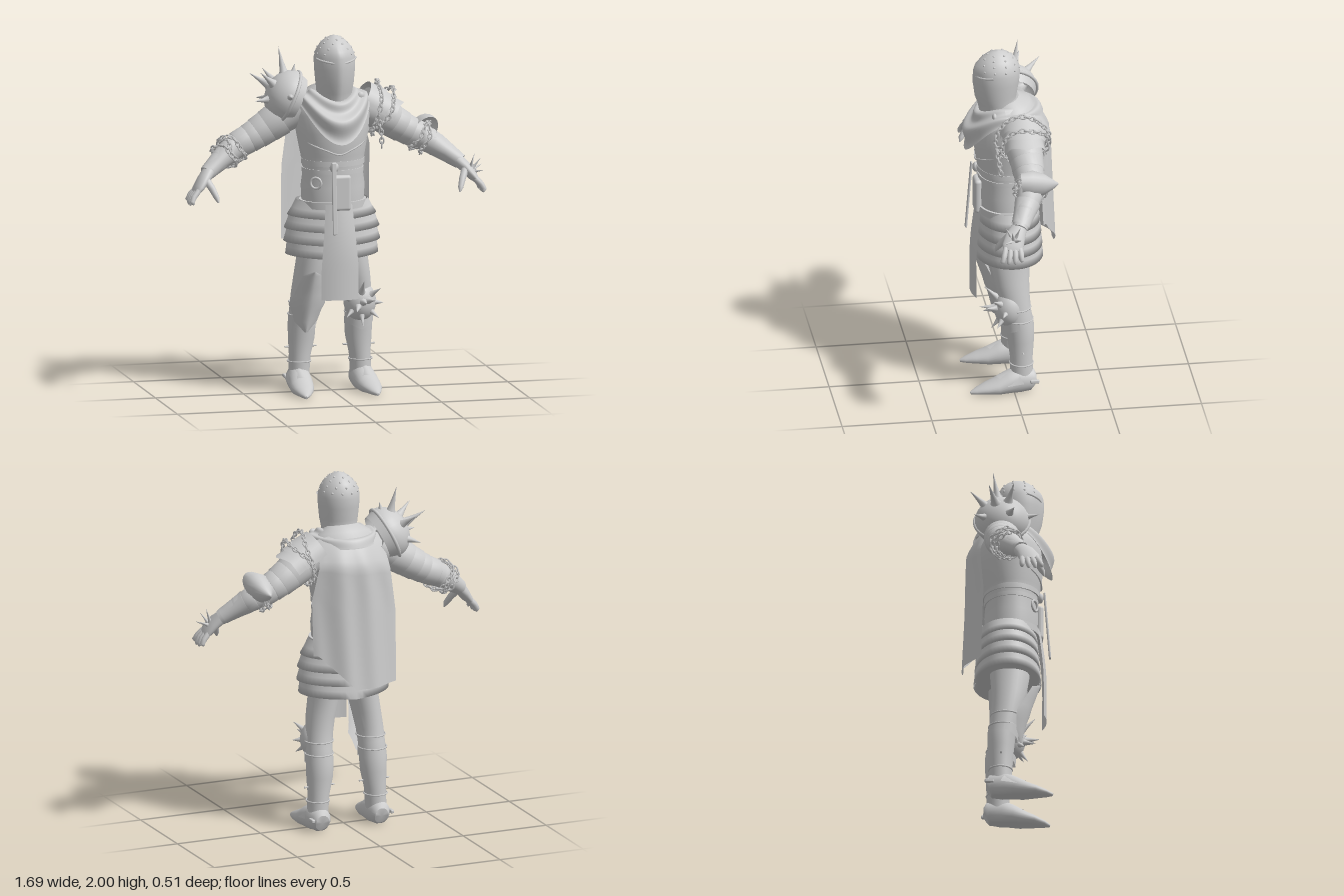
import * as THREE from 'three';
import { mergeGeometries } from 'three/addons/utils/BufferGeometryUtils.js';
import { RoundedBoxGeometry } from 'three/addons/geometries/RoundedBoxGeometry.js';

const V = (x, y, z) => new THREE.Vector3(x, y, z);
const steel = new THREE.MeshStandardMaterial({ color: 0xcccccc, side: THREE.DoubleSide });
steel.name = 'steel';

function grid(positions, index) {
  const g = new THREE.BufferGeometry();
  g.setAttribute('position', new THREE.Float32BufferAttribute(positions, 3));
  g.setIndex(index);
  g.computeVertexNormals();
  return g;
}

// Elliptical rings [x, y, z, sideRadius, refRadius] skinned along a path
function loft(rings, { ref = V(0, 0, 1), caps = true, seg = 28, shape } = {}) {
  const pos = [], idx = [], c = rings.map(r => V(r[0], r[1], r[2])), n = rings.length;
  rings.forEach((r, i) => {
    const t = c[Math.min(i + 1, n - 1)].clone().sub(c[Math.max(i - 1, 0)]).normalize();
    const v = ref.clone().addScaledVector(t, -ref.dot(t)).normalize();
    const u = v.clone().cross(t);
    for (let j = 0; j < seg; j++) {
      const a = j / seg * Math.PI * 2;
      const p = c[i].clone().addScaledVector(u, r[3] * Math.cos(a)).addScaledVector(v, r[4] * Math.sin(a));
      if (shape) shape(p);
      pos.push(p.x, p.y, p.z);
      if (i < n - 1) {
        const k = (j + 1) % seg, o = i * seg;
        idx.push(o + j, o + k, o + seg + j, o + k, o + seg + k, o + seg + j);
      }
    }
  });
  if (caps) [0, n - 1].forEach(i => {
    const o = pos.length / 3, ring = pos.slice(i * seg * 3, (i + 1) * seg * 3);
    const mid = c[i].clone();
    if (shape) shape(mid);
    pos.push(...ring, mid.x, mid.y, mid.z);
    for (let j = 0; j < seg; j++) {
      const k = (j + 1) % seg;
      idx.push(o + seg, ...(i ? [o + j, o + k] : [o + k, o + j]));
    }
  });
  return grid(pos, idx);
}

// Thin sheet from a rule of u and v
function sheet(nu, nv, rule) {
  const pos = [], idx = [];
  for (let i = 0; i <= nv; i++) for (let j = 0; j <= nu; j++) {
    pos.push(...rule(j / nu, i / nv));
    if (i < nv && j < nu) {
      const a = i * (nu + 1) + j, b = a + nu + 1;
      idx.push(a, b, a + 1, b, b + 1, a + 1);
    }
  }
  return grid(pos, idx);
}

// Concave spikes running from a centre out to each tip
function spikes(center, start, tips, r) {
  return mergeGeometries(tips.map(t => {
    const d = V(...t).sub(center), len = d.length() - start;
    d.normalize();
    const g = new THREE.LatheGeometry([[r, 0], [r * 0.55, 0.2], [r * 0.3, 0.5], [0.0005, 1]].map(p => new THREE.Vector2(p[0], p[1] * len)), 12);
    g.applyQuaternion(new THREE.Quaternion().setFromUnitVectors(V(0, 1, 0), d));
    return g.translate(...center.clone().addScaledVector(d, start).toArray());
  }));
}

// Interlocked links along a curve
function chain(curve) {
  const n = Math.round(curve.getLength() / 0.027), out = [];
  for (let i = 0; i < n; i++) {
    const g = new THREE.TorusGeometry(0.0115, 0.0045, 5, 10).scale(1.5, 1, 1).rotateX((i % 2) * Math.PI / 2 + 0.4);
    g.applyQuaternion(new THREE.Quaternion().setFromUnitVectors(V(1, 0, 0), curve.getTangentAt(i / n)));
    out.push(g.translate(...curve.getPointAt(i / n).toArray()));
  }
  return mergeGeometries(out);
}

function loop(center, normal, r) {
  const q = new THREE.Quaternion().setFromUnitVectors(V(0, 0, 1), normal.clone().normalize()), pts = [];
  for (let i = 0; i < 16; i++) {
    const a = i / 16 * Math.PI * 2;
    pts.push(V(Math.cos(a) * r, Math.sin(a) * r, 0.01 * Math.sin(a * 3)).applyQuaternion(q).add(center));
  }
  return new THREE.CatmullRomCurve3(pts, true);
}

export function createModel() {
  const model = new THREE.Group();
  const add = (name, geo) => {
    const m = new THREE.Mesh(geo, steel);
    m.name = name;
    model.add(m);
  };

  // Helm with a creased front, eye slits and rivets
  const helm = [[1.6, .05, .1, .09], [1.66, .055, .098, .098], [1.7, .06, .1, .1], [1.74, .066, .106, .11], [1.82, .066, .113, .122], [1.88, .062, .114, .124],
    [1.92, .06, .102, .115], [1.955, .06, .079, .094], [1.98, .06, .052, .064], [1.995, .06, .024, .032], [2, .06, .003, .003]];
  add('helm', loft(helm.map(([y, z, a, b]) => [0, y, z, a, b]), { seg: 40, shape: p => {
    if (p.z > 0.1 && p.y < 1.93) p.z += 0.014 * Math.max(0, 1 - Math.abs(p.x) / 0.06);
  } }));
  const onHelm = (y, a, out = 0) => {
    let i = 0;
    while (i < helm.length - 2 && helm[i + 1][0] < y) i++;
    const [p, q] = [helm[i], helm[i + 1]], f = (y - p[0]) / (q[0] - p[0]), at = k => p[k] + (q[k] - p[k]) * f;
    return V((at(2) + out) * Math.sin(a), y, at(1) + (at(3) + out) * Math.cos(a));
  };
  const rivets = [];
  [1.905, 1.935, 1.962, 1.982].forEach((y, r) => {
    const n = 12 - r * 2;
    for (let i = 0; i < n; i++) rivets.push(new THREE.SphereGeometry(.007, 8, 6).translate(...onHelm(y, (i + .5 + (r % 2) / 2) / n * 6.283, -.002).toArray()));
  });
  add('helmRivets', mergeGeometries(rivets));
  for (const s of [-1, 1]) add('eyeSlitLip', new THREE.TubeGeometry(new THREE.CatmullRomCurve3(
    [.25, .6, .95, 1.25].map((a, i) => onHelm(1.862 + i * .006, a * s, .003))), 12, .006, 6));

  // Torso, belts and neck
  add('breastplate', loft([[.8, 0, .17, .14], [1.05, .02, .172, .145], [1.16, .022, .178, .15], [1.25, .022, .166, .143], [1.33, .02, .178, .162],
    [1.45, .012, .2, .188], [1.55, 0, .212, .187], [1.62, -.005, .2, .165], [1.67, .01, .155, .13], [1.71, .02, .09, .075]].map(([y, z, a, b]) => [0, y, z, a, b]), { seg: 40 }));
  [[1.28, 1.31, .176, .157], [1.235, 1.26, .172, .15], [1.04, 1.08, .187, .158]].forEach(([y0, y1, a, b]) =>
    add('belt', loft([[0, y0, .022, a, b], [0, y1, .022, a, b]], { seg: 40 })));
  add('plackartEdge', new THREE.TubeGeometry(new THREE.CatmullRomCurve3([-1.2, -.8, -.4, 0, .4, .8, 1.2].map(a =>
    V(.188 * Math.sin(a), 1.35 + .06 * Math.abs(a), .02 + .168 * Math.cos(a)))), 30, .005, 6));

  // Draped scarf with rolling folds, lower at the throat
  add('scarf', sheet(56, 24, (u, v) => {
    const a = -u * Math.PI * 2, f = Math.max(0, Math.sin(a)), w = Math.sin(v * Math.PI * 4) * .013;
    return [Math.cos(a) * (.1 + .1 * Math.sin(v * 1.57) + w * .4), 1.69 - .065 * v * v - f * f * (.045 + .165 * v ** 1.3) + w * .5,
      .04 + Math.sin(a) * (.1 + (f > 0 ? .085 : .13) * Math.sin(v * 1.57)) + f * f * (.014 + .02 * Math.sin(v * 2.6) + w)];
  }));
  add('collarRoll', new THREE.TorusGeometry(.108, .013, 8, 36).rotateX(Math.PI / 2 + .35).translate(0, 1.675, .05));
  add('cloakClasp', new THREE.SphereGeometry(.022, 14, 10).scale(1, 1, .6).translate(.14, 1.66, .1));

  // Cloak wrapping the back, with soft folds and a slanted hem
  add('cloak', sheet(48, 24, (u, v) => {
    const s = u * 2 - 1, hem = .83 + .2 * Math.max(0, Math.min(1, (s - .1) / .8));
    const x = s * (.185 + .065 * Math.min(1, v * 2));
    return [x, 1.7 - v * (1.7 - hem) - .04 * s * s * (1 - v), -.1 - .12 * Math.min(1, v * 5) ** .6 - .03 * v + (.05 + .05 * Math.min(1, v * 2)) * s * s + .007 * Math.min(1, v * 3) * Math.sin(s * 9 + v * 2)];
  }));

  // Skirt of close overlapping lames flaring to the sides
  [[.2, .25, .16, .17], [.235, .268, .166, .177], [.248, .272, .172, .183], [.25, .26, .177, .188]].forEach(([a0, a1, b0, b1], i) => {
    const y = 1.075 - i * .073;
    add('skirtLame', loft([[0, y, 0, a0, b0], [0, y - .045, 0, a0 + (a1 - a0) * .45, (b0 + b1) / 2], [0, y - .088, 0, a1, b1],
      [0, y - .087, 0, a1 - .01, b1 - .01]], { caps: false, seg: 48, shape: p => { p.y += .015 * (Math.abs(p.x) / a1 - .5); } }));
  });

  // Tabard, hanging strap, pouch and ring
  add('tabard', sheet(14, 16, (u, v) => [(u * 2 - 1) * (.075 + .03 * Math.min(1, v * 1.5)), 1.07 - v * .53, .186 + .03 * Math.sin(Math.min(1, v * 1.6) * 1.57) - .02 * (u * 2 - 1) ** 2]));
  add('hangingStrap', new RoundedBoxGeometry(.026, .4, .012, 2, .005).rotateX(-.08).translate(-.037, 1.11, .218));
  add('strapKnot', new THREE.SphereGeometry(.026, 12, 8).scale(1, 1.1, .7).translate(-.03, 1.28, .18));
  add('pouch', new RoundedBoxGeometry(.105, .2, .04, 4, .018).translate(.012, 1.135, .178));
  add('beltRing', new THREE.TorusGeometry(.03, .007, 8, 24).rotateY(-.55).translate(-.125, 1.19, .145));

  for (const s of [-1, 1]) {
    // Legs, greaves and straps
    add('leg', loft([[.1, .88, .005, .085, .112], [.115, .75, .008, .083, .108], [.137, .64, .002, .078, .096], [.152, .54, -.012, .075, .084], [.158, .46, -.025, .074, .078],
      [.16, .38, -.04, .077, .078], [.162, .3, -.043, .074, .073], [.17, .2, -.045, .06, .063], [.176, .08, -.045, .058, .064]].map(([x, ...r]) => [x * s, ...r])));
    [[.156, .5, -.018, .08], [.161, .43, -.032, .078], [.174, .165, -.045, .064]].forEach(([x, y, z, r]) =>
      add('legStrap', new THREE.TorusGeometry(r, .0045, 6, 30).rotateX(Math.PI / 2).translate(x * s, y, z)));
    add('greavePin', new THREE.CylinderGeometry(.005, .005, .18, 8).rotateZ(Math.PI / 2).translate(.165 * s, .245, -.045));
    add('greaveTopPlate', sheet(14, 6, (u, v) => {
      const a = (u * 2 - 1) * 1.5;
      return [s * .16 + Math.sin(a) * .081, .43 - v * (.09 - .05 * Math.abs(u * 2 - 1)), -.035 + Math.cos(a) * (.085 + .008 * (1 - v))];
    }));
    // Pointed shoe with an instep plate and heel buckle
    add('sabaton', loft([[.178, .05, -.12, .04, .05], [.178, .06, -.1, .058, .065], [.18, .065, -.03, .066, .08], [.184, .052, .03, .068, .064], [.19, .036, .09, .066, .048],
      [.195, .028, .15, .055, .032], [.2, .016, .21, .03, .018], [.204, .008, .243, .006, .008]].map(([x, ...r]) => [x * s, ...r]),
    { ref: V(0, 1, 0), shape: p => { p.y = Math.max(0, p.y); p.z = Math.max(-.125, p.z); } }));
    add('instepPlate', sheet(12, 6, (u, v) => {
      const a = (u * 2 - 1) * 1.3, z = .1 - v * .09 - .06 * Math.abs(u * 2 - 1);
      return [s * .186 + Math.sin(a) * .07, .04 + Math.cos(a) * (.053 + .042 * v), z];
    }));
    add('heelBuckle', new RoundedBoxGeometry(.02, .02, .05, 2, .006).translate(.238 * s, .07, -.11));

    // Arm, overlapping arm plates and gauntlet
    const path = new THREE.CatmullRomCurve3([[.18, 1.59, -.03], [.27, 1.54, -.04], [.36, 1.48, -.05], [.45, 1.425, -.05], [.53, 1.385, -.045], [.61, 1.335, -.01], [.72, 1.255, .045]].map(p => V(p[0] * s, p[1], p[2])));
    const along = (t, a, b = a) => [...path.getPoint(t).toArray(), a, b];
    add('arm', loft([.1, .095, .085, .076, .07, .062, .042].map((r, i) => along(i / 6, r))));
    for (const [t0, t1, r0, r1] of [[.18, .32, .1, .094], [.3, .43, .092, .088], [.41, .52, .084, .082], [.52, .66, .08, .077], [.7, .8, .07, .064], [.78, .88, .062, .057]])
      add('armPlate', loft([along(t0, r0 - .012), along(t0 + .01, r0), along(t1, r1), along(t1 + .005, r1 - .012)], { caps: false }));
    add('gauntletCuff', loft([along(.8, .066, .072), along(.9, .05, .058), along(.98, .045, .05)], { caps: false }));
    add('palm', loft([[.7, 1.27, .035, .036, .04], [.745, 1.225, .07, .032, .055], [.78, 1.18, .09, .026, .06], [.797, 1.158, .096, .016, .05]].map(([x, ...r]) => [x * s, ...r])));
    for (let i = 0; i < 4; i++) {
      const d = i - 1.5, k = .008 * Math.abs(d);
      add('finger', loft([[.785, 1.175, .09 + d * .026, .016, .016], [.815, 1.142, .095 + d * .031, .016, .016], [.829, 1.115, .1 + d * .035, .014, .014],
        [.834 - k, 1.095 + k, .102 + d * .037, .01, .01], [.836 - k, 1.088 + k, .103 + d * .037, .003, .003]].map(([x, ...r]) => [x * s, ...r]), { seg: 10 }));
    }
    add('thumb', loft([[.735, 1.225, .1, .022, .022], [.71, 1.18, .135, .019, .019], [.692, 1.135, .165, .015, .015], [.685, 1.11, .175, .004, .004]].map(([x, ...r]) => [x * s, ...r]), { seg: 12 }));

    // Forearm and elbow chains
    const chains = s > 0 ? [[.63, .088], [.68, .085]] : [[.72, .085], [.78, .08], [.83, .076]];
    chains.forEach(([t, r], i) => add('armChain', chain(loop(path.getPoint(t), path.getTangent(t).add(V(0, i % 2 ? .2 : -.2, i % 2 ? -.2 : .2)), r))));
  }

  // Right shoulder: spiked dome
  const sc = V(-.235, 1.645, -.04), out = V(-.9, .42, -.05).normalize();
  const face = new THREE.Quaternion().setFromUnitVectors(V(0, 1, 0), out);
  const place = (g, c = sc) => g.applyQuaternion(face).translate(c.x, c.y, c.z);
  add('spikedPauldron', place(new THREE.SphereGeometry(1, 32, 14, 0, Math.PI * 2, 0, Math.PI / 2).scale(.152, .13, .15)));
  add('pauldronRim', place(new THREE.TorusGeometry(.15, .01, 8, 40).rotateX(Math.PI / 2)));
  add('pauldronUnderPlate', place(new THREE.CylinderGeometry(.145, .13, .05, 32, 1, true), V(-.21, 1.633, -.04)));
  add('pauldronSpikes', spikes(sc, .11, [[-.28, 1.92, -.09], [-.34, 1.78, -.22], [-.44, 1.775, -.12], [-.41, 1.8, .02], [-.27, 1.68, .165], [-.2, 1.83, -.04], [-.44, 1.64, .02], [-.38, 1.62, -.2]], .042));

  // Left shoulder: layered plates with a pointed outer edge
  for (let i = 0; i < 3; i++) add('shoulderLame', sheet(20, 6, (u, v) => {
    const e = Math.abs(u * 2 - 1), a = (u * 2 - 1) * 1.6, r = .117 + .01 * v - i * .006;
    const t = .17 + i * .048 + v * .07 + .03 * Math.max(0, 1 - e * 2) * v;
    return [t + Math.cos(a) * r * .5, 1.605 - (t - .18) * .62 + Math.cos(a) * r * .83, -.045 + Math.sin(a) * r];
  }));
  add('shoulderChain', chain(loop(V(.255, 1.565, -.04), V(1, -.15, .1), .15)));
  add('shoulderChain', chain(loop(V(.29, 1.555, -.045), V(.85, -.5, -.1), .135)));
  add('hangingChain', chain(new THREE.CatmullRomCurve3([V(.25, 1.5, .1), V(.262, 1.43, .09), V(.265, 1.35, .08)])));

  // Left elbow cop coming to a point at the back
  add('elbowCop', loft([[.525, 1.42, .005, .1, .06], [.53, 1.425, -.06, .095, .075], [.535, 1.425, -.12, .067, .055], [.53, 1.42, -.17, .03, .025], [.525, 1.42, -.2, .004, .004]], { ref: V(.8, -.6, 0), caps: false, seg: 20 }));
  add('knuckleSpikes', spikes(V(.76, 1.2, .08), .02, [[.82, 1.28, .1], [.84, 1.24, .05], [.8, 1.3, .05], [.83, 1.22, .14], [.77, 1.29, .13]], .018));

  // Left knee: spiked boss
  const kc = V(.155, .495, .02);
  add('spikedKnee', new THREE.SphereGeometry(1, 28, 18).scale(.09, .11, .085).translate(kc.x, kc.y, kc.z));
  add('kneeSpikes', spikes(kc, .06, [[.145, .63, .16], [.25, .58, .12], [.278, .49, .07], [.245, .41, .1], [.15, .372, .12], [.062, .42, .1], [.045, .53, .09],
    [.155, .51, .185], [.21, .52, .16], [.105, .46, .16]], .038));

  // Right knee: tall winged shield plate
  const rows = [[.695, .01, .178], [.67, .055, .168], [.6, .072, .145], [.55, .085, .128], [.5, .104, .115], [.46, .085, .1], [.4, .065, .085], [.34, .006, .07]];
  add('wingedKnee', sheet(14, rows.length - 1, (u, v) => {
    const [y, w, z] = rows[Math.round(v * (rows.length - 1))], s = u * 2 - 1;
    return [-.14 + s * w - (.69 - y) * .06, y, z - Math.abs(s) ** 1.6 * w * .7];
  }));
  return model;
}
